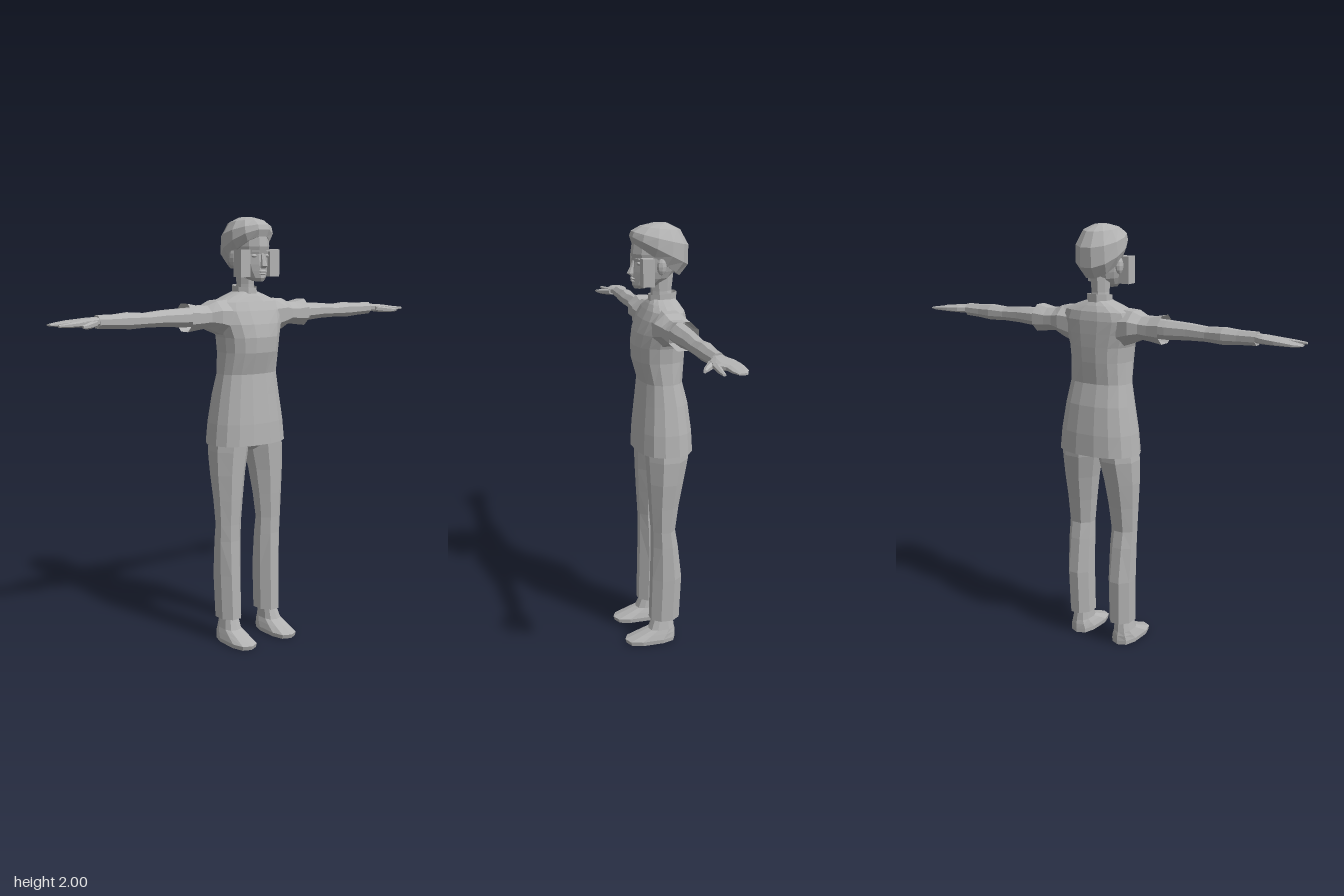
import * as THREE from 'three';

const grey = new THREE.MeshStandardMaterial({ color: 0xb2b2b2, flatShading: true, side: THREE.DoubleSide });
grey.name = 'plain grey';

// Place a (u, along, v) triple so that the loft runs along the chosen axis.
const place = {
  y: (u, a, v) => [u, a, v],
  x: (u, a, v) => [a, v, u],
};

// Loft through elliptical rings. Row: [along, uMin, uMax, vMin, vMax, tilt].
function loft(rows, { n = 10, axis = 'y', caps = true, power = 1 } = {}) {
  const pos = [], idx = [];
  const round = c => Math.sign(c) * Math.abs(c) ** power;
  const k = 1 / Math.cos(Math.PI / n) ** 0.6;
  for (const [a, u0, u1, v0, v1, tilt = 0] of rows) {
    for (let j = 0; j < n; j++) {
      const t = ((j + 0.5) / n) * Math.PI * 2;
      const dv = (v1 - v0) / 2 * round(Math.sin(t)) * k;
      const u = (u0 + u1) / 2 + (u1 - u0) / 2 * round(Math.cos(t)) * k;
      pos.push(...place[axis](u, a + tilt * dv, (v0 + v1) / 2 + dv));
    }
  }
  for (let i = 0; i < rows.length - 1; i++) {
    for (let j = 0; j < n; j++) {
      const a = i * n + j, b = i * n + (j + 1) % n;
      idx.push(a, a + n, b, b, a + n, b + n);
    }
  }
  if (caps) {
    const top = (rows.length - 1) * n;
    for (let j = 1; j < n - 1; j++) idx.push(0, j, j + 1, top, top + j + 1, top + j);
  }
  const g = new THREE.BufferGeometry();
  g.setAttribute('position', new THREE.Float32BufferAttribute(pos, 3));
  g.setIndex(idx);
  g.computeVertexNormals();
  return g;
}

// Mirror a geometry in x, keeping its faces outward.
function mirrored(geometry) {
  const g = geometry.clone().scale(-1, 1, 1);
  const a = g.index.array;
  for (let i = 0; i < a.length; i += 3) [a[i + 1], a[i + 2]] = [a[i + 2], a[i + 1]];
  g.computeVertexNormals();
  return g;
}

export function createModel() {
  const model = new THREE.Group();
  model.name = 'figure';

  function add(name, geometry) {
    const mesh = new THREE.Mesh(geometry, grey);
    mesh.name = name;
    model.add(mesh);
  }
  function addPair(name, geometry) {
    add('left' + name, geometry);
    add('right' + name, mirrored(geometry));
  }
  // Rows symmetrical in x: [y, half width, back, front, tilt]
  const sym = rows => rows.map(([y, r, back, front, tilt]) => [y, -r, r, back, front, tilt]);
  const ball = (x, y, z, sx, sy, sz) =>
    new THREE.SphereGeometry(1, 8, 6).scale(sx, sy, sz).translate(x, y, z);

  // Long tunic, open at the hem
  add('tunic', loft(sym([
    [0.96, 0.198, -0.17, 0.10], [1.06, 0.188, -0.165, 0.095], [1.19, 0.167, -0.148, 0.082],
    [1.29, 0.15, -0.122, 0.072], [1.39, 0.145, -0.132, 0.10], [1.46, 0.152, -0.135, 0.104],
    [1.52, 0.172, -0.135, 0.092], [1.58, 0.19, -0.133, 0.067], [1.62, 0.17, -0.125, 0.045],
    [1.645, 0.11, -0.11, 0.03], [1.665, 0.055, -0.095, 0.015],
  ]), { n: 16, caps: false, power: 0.85 }));

  // Collar and neck
  add('collar', loft(sym([
    [1.64, 0.056, -0.1, 0.025, -0.1], [1.69, 0.054, -0.103, 0.022, -0.1],
  ]), { n: 8, caps: false }));
  add('neck', loft(sym([
    [1.62, 0.046, -0.09, 0.01], [1.70, 0.038, -0.08, 0.012], [1.79, 0.042, -0.09, 0.02],
  ]), { n: 8 }));

  // Sleeves, arms and hands run along x
  addPair('Sleeve', loft([
    [0.13, -0.11, 0.05, 1.46, 1.635], [0.19, -0.115, 0.055, 1.485, 1.63], [0.235, -0.1, 0.035, 1.505, 1.61],
    [0.28, -0.1, 0.032, 1.5, 1.61], [0.34, -0.105, 0.033, 1.492, 1.622],
  ], { n: 8, axis: 'x', caps: false }));
  addPair('Arm', loft([
    [0.2, -0.08, 0.015, 1.515, 1.605], [0.36, -0.082, 0.015, 1.515, 1.6], [0.46, -0.073, 0.006, 1.522, 1.596],
    [0.55, -0.068, 0.004, 1.524, 1.588], [0.63, -0.076, 0.004, 1.52, 1.594],
    [0.7, -0.068, 0, 1.526, 1.588], [0.785, -0.066, -0.002, 1.53, 1.588],
  ], { n: 8, axis: 'x' }));
  addPair('Hand', loft([
    [0.775, -0.06, -0.008, 1.543, 1.58], [0.82, -0.085, 0.012, 1.542, 1.578], [0.88, -0.094, 0.016, 1.543, 1.573],
    [0.91, -0.094, -0.02, 1.545, 1.57], [0.96, -0.092, -0.028, 1.546, 1.563], [0.995, -0.078, -0.04, 1.55, 1.558],
  ], { n: 8, axis: 'x', power: 0.8 }));
  addPair('IndexFinger', loft([
    [0.86, -0.012, 0.018, 1.545, 1.57], [0.94, 0, 0.021, 1.545, 1.563], [0.985, 0.006, 0.019, 1.548, 1.558],
  ], { n: 6, axis: 'x' }));
  addPair('Thumb', loft([
    [0.805, -0.03, 0.015, 1.542, 1.57], [0.84, 0.0, 0.036, 1.538, 1.565],
    [0.87, 0.028, 0.055, 1.538, 1.56], [0.9, 0.052, 0.066, 1.542, 1.555],
  ], { n: 6, axis: 'x' }));

  // Trousers: hips and two legs
  add('hips', loft(sym([
    [0.925, 0.03, -0.06, 0.02], [0.965, 0.15, -0.125, 0.06], [1.08, 0.165, -0.14, 0.07],
  ]), { n: 12 }));
  addPair('TrouserLeg', loft([
    [0.115, 0.058, 0.174, -0.09, 0.054], [0.33, 0.058, 0.178, -0.1, 0.048], [0.5, 0.058, 0.18, -0.08, 0.044],
    [0.58, 0.06, 0.18, -0.066, 0.045], [0.7, 0.048, 0.186, -0.082, 0.052], [0.82, 0.032, 0.194, -0.105, 0.058],
    [0.93, 0.01, 0.196, -0.128, 0.063], [1.02, 0, 0.185, -0.13, 0.066],
  ], { n: 8 }));

  // Bare feet
  addPair('Foot', loft([
    [0, 0.064, 0.178, -0.068, 0.168], [0.02, 0.062, 0.18, -0.07, 0.174], [0.045, 0.07, 0.172, -0.07, 0.11],
    [0.065, 0.078, 0.165, -0.066, 0.06], [0.13, 0.085, 0.15, -0.058, 0.034],
  ], { n: 10, power: 0.75 }));

  // Head
  add('face', loft(sym([
    [1.714, 0.022, 0.04, 0.09], [1.73, 0.042, -0.03, 0.1], [1.76, 0.058, -0.075, 0.099],
    [1.79, 0.067, -0.095, 0.098], [1.835, 0.075, -0.115, 0.094], [1.87, 0.08, -0.125, 0.104],
    [1.93, 0.078, -0.125, 0.096], [1.965, 0.06, -0.1, 0.07],
  ]), { n: 12 }));
  add('hair', loft(sym([
    [1.84, 0.088, -0.115, 0.098, 0.7], [1.88, 0.109, -0.153, 0.108, 0.5], [1.935, 0.105, -0.155, 0.1, 0.25],
    [1.98, 0.075, -0.118, 0.06, 0.1], [2.0, 0.03, -0.06, 0.01],
  ]), { n: 12 }));
  addPair('Ear', ball(0.087, 1.818, -0.012, 0.016, 0.038, 0.023));
  addPair('SidePlate', new THREE.BoxGeometry(0.055, 0.123, 0.053).translate(0.0835, 1.795, 0.053));

  // Facial features
  add('nose', loft(sym([
    [1.772, 0.012, 0.085, 0.108], [1.783, 0.015, 0.085, 0.124], [1.81, 0.009, 0.085, 0.11], [1.84, 0.006, 0.085, 0.098],
  ]), { n: 6 }));
  add('upperLip', ball(0, 1.759, 0.098, 0.024, 0.006, 0.011));
  add('lowerLip', ball(0, 1.748, 0.097, 0.02, 0.006, 0.01));
  addPair('Eye', ball(0.034, 1.828, 0.079, 0.016, 0.008, 0.01));
  addPair('Eyebrow', new THREE.BoxGeometry(0.036, 0.005, 0.008).rotateY(0.4).translate(0.036, 1.85, 0.088));

  return model;
}
